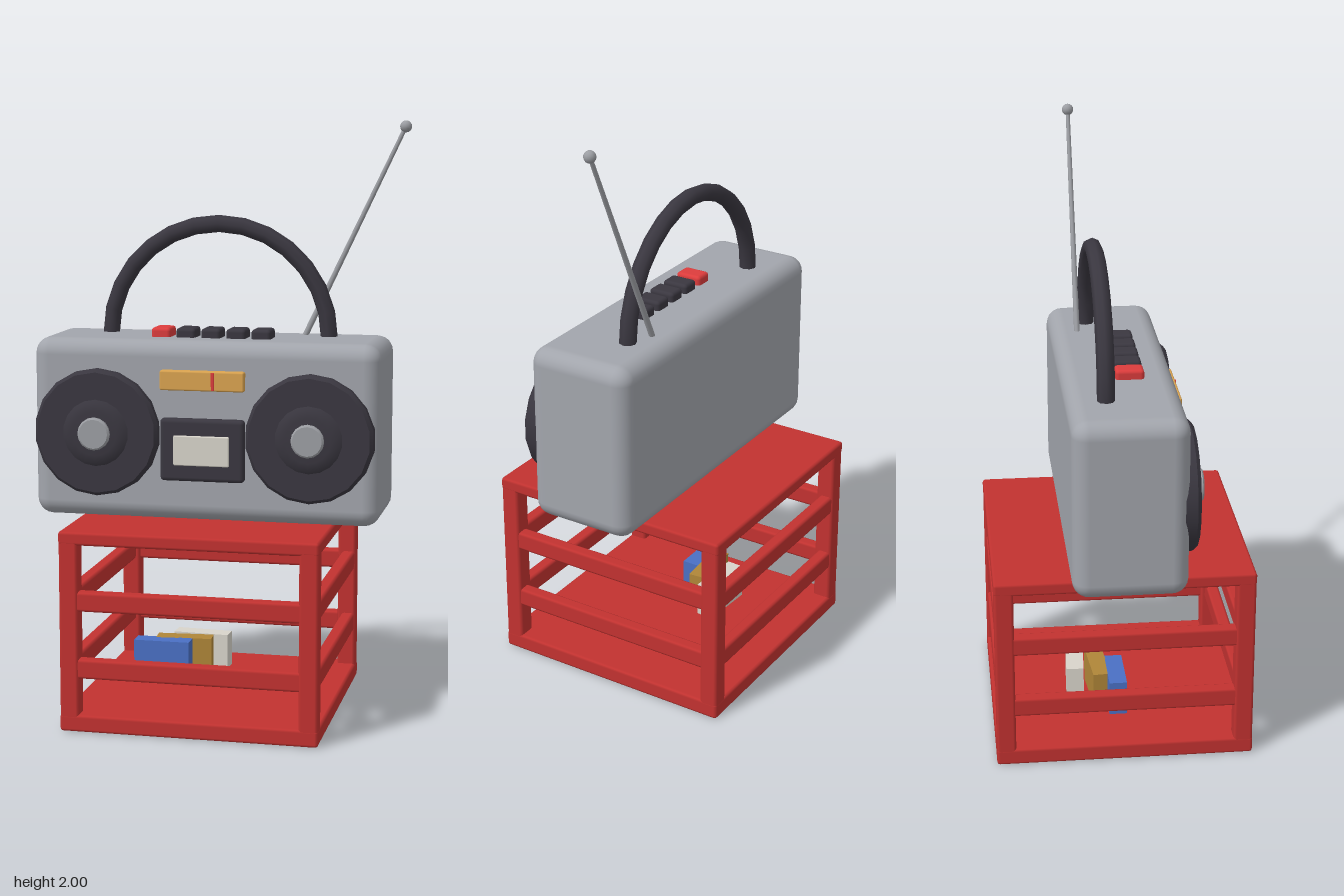
import * as THREE from 'three';
import { RoundedBoxGeometry } from 'three/addons/geometries/RoundedBoxGeometry.js';

const material = (color) => new THREE.MeshStandardMaterial({ color });
const RED = material(0xc23230), GREY = material(0xa2a5ac), DARK = material(0x3a3740);
const METAL = material(0x9c9ea3), AMBER = material(0xdba450), CREAM = material(0xd8d4ca);
const BLUE = material(0x4a70c4), TAN = material(0xb08638), BUTTON_RED = material(0xdc3c3c);

const CX = -0.033; // shared centre line of crate and radio

function add(parent, name, geometry, mat, x = 0, y = 0, z = 0) {
  const mesh = new THREE.Mesh(geometry, mat);
  mesh.name = name;
  mesh.position.set(x, y, z);
  parent.add(mesh);
  return mesh;
}

const rounded = (w, h, d, r = 0.01, segments = 1) => new RoundedBoxGeometry(w, h, d, segments, r);

function createCrate() {
  const crate = new THREE.Group();
  crate.name = 'crate';
  crate.position.x = CX;
  const size = 0.865, half = size / 2, post = 0.064;

  add(crate, 'crateFloor', rounded(size, 0.058, size), RED, 0, 0.029, 0);
  add(crate, 'crateTop', rounded(size, 0.045, size), RED, 0, 0.652, 0);

  for (const sx of [-1, 1]) for (const sz of [-1, 1]) {
    const p = half - post / 2 - 0.001;
    add(crate, 'cornerPost', rounded(post, 0.66, post), RED, sx * p, 0.337, sz * p);
  }
  // Two slats on each of the four sides
  for (const y of [0.213, 0.44]) for (let i = 0; i < 4; i++) {
    const side = new THREE.Group();
    side.name = 'crateSide';
    side.rotation.y = i * Math.PI / 2;
    add(side, 'slat', rounded(size - 0.06, 0.066, 0.045), RED, 0, y, half - 0.028);
    crate.add(side);
  }
  return crate;
}

function createBooks() {
  const books = new THREE.Group();
  books.name = 'books';
  const list = [
    [BLUE, -0.222, -0.01, 0.0],
    [TAN, -0.158, -0.067, 0.08],
    [CREAM, -0.11, -0.143, -0.06],
  ];
  for (const [mat, x, z, turn] of list) {
    add(books, 'book', new THREE.BoxGeometry(0.195, 0.12, 0.06), mat, x, 0.15, z).rotation.y = turn;
  }
  return books;
}

function createSpeaker(x) {
  const speaker = new THREE.Group();
  speaker.name = 'speaker';
  speaker.position.set(x, 0.97, 0);
  // Lathed profiles as [radius, z], turned to face forward
  const turned = (name, mat, profile, sides) => {
    const points = profile.map(([r, z]) => new THREE.Vector2(r, z));
    add(speaker, name, new THREE.LatheGeometry(points, sides), mat).rotation.x = Math.PI / 2;
  };
  turned('speakerRing', DARK, [[0, 0.172], [0.214, 0.172], [0.214, 0.172], [0.214, 0.212],
    [0.214, 0.212], [0.203, 0.224], [0.203, 0.224], [0, 0.224]], 18);
  turned('speakerCone', DARK, [[0.115, 0.222], [0.1, 0.232], [0.075, 0.24], [0, 0.242]], 18);
  turned('speakerCap', METAL, [[0.055, 0.235], [0.055, 0.25], [0.055, 0.25], [0.049, 0.255],
    [0.049, 0.255], [0, 0.255]], 16);
  return speaker;
}

function createRadio() {
  const radio = new THREE.Group();
  radio.name = 'radio';
  add(radio, 'radioBody', rounded(1.175, 0.605, 0.374, 0.055, 3), GREY, CX, 0.978, 0.002);
  for (const s of [-1, 1]) radio.add(createSpeaker(CX + s * 0.36));

  // Cassette deck and tuner
  add(radio, 'cassetteDeck', rounded(0.285, 0.21, 0.06, 0.014, 2), DARK, CX, 0.92, 0.185);
  add(radio, 'cassetteWindow', rounded(0.188, 0.1, 0.03, 0.004), CREAM, CX, 0.92, 0.21);
  add(radio, 'tunerDial', rounded(0.285, 0.066, 0.05, 0.006), AMBER, CX, 1.152, 0.19);
  add(radio, 'tunerNeedle', new THREE.BoxGeometry(0.01, 0.058, 0.01), BUTTON_RED, 0.005, 1.152, 0.213);

  // Row of push buttons, the first one red
  for (let i = 0; i < 5; i++) {
    add(radio, 'button', rounded(0.066, 0.05, 0.094, 0.012, 2), i ? DARK : BUTTON_RED,
      -0.203 + i * 0.0855, 1.287, 0.036);
  }
  return radio;
}

function createHandle() {
  const handle = new THREE.Group();
  handle.name = 'handle';
  handle.position.set(CX, 1.275, -0.06);
  add(handle, 'handleArch', new THREE.TorusGeometry(0.38, 0.029, 8, 14, Math.PI), DARK);
  return handle;
}

function createAntenna() {
  const antenna = new THREE.Group();
  antenna.name = 'antenna';
  const base = new THREE.Vector3(0.255, 1.27, -0.096);
  const tip = new THREE.Vector3(0.592, 1.98, -0.096);
  const along = tip.clone().sub(base);
  const middle = base.clone().add(tip).multiplyScalar(0.5);
  const rod = add(antenna, 'antennaRod', new THREE.CylinderGeometry(0.007, 0.01, along.length(), 8),
    METAL, middle.x, middle.y, middle.z);
  rod.quaternion.setFromUnitVectors(new THREE.Vector3(0, 1, 0), along.normalize());
  add(antenna, 'antennaTip', new THREE.SphereGeometry(0.02, 12, 8), METAL, tip.x, tip.y, tip.z);
  return antenna;
}

export function createModel() {
  const model = new THREE.Group();
  model.name = 'radioOnCrate';
  model.add(createCrate(), createBooks(), createRadio(), createHandle(), createAntenna());
  return model;
}
